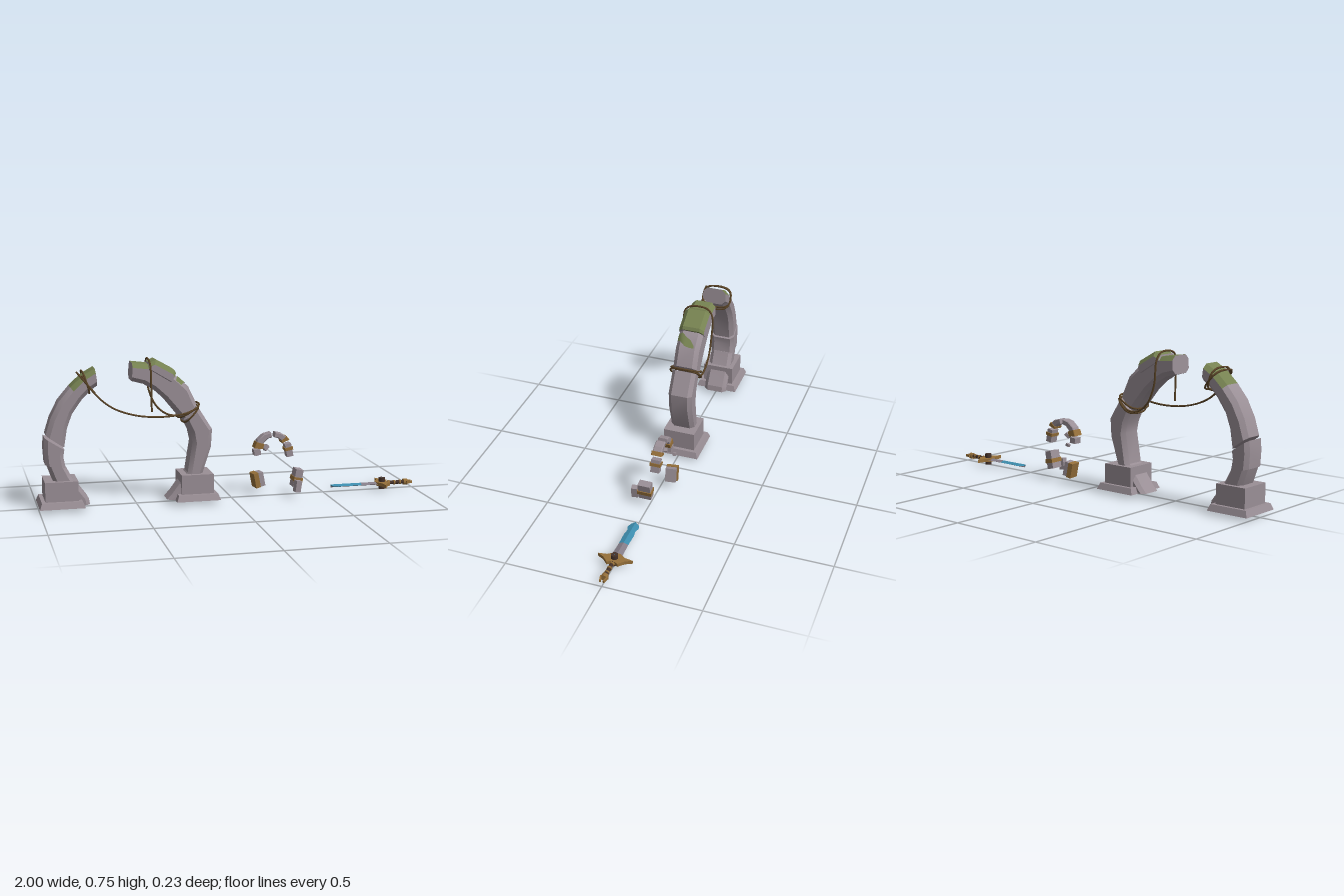
import * as THREE from 'three';
import { toCreasedNormals } from 'three/addons/utils/BufferGeometryUtils.js';

const mat = (name, color) => {
  const m = new THREE.MeshStandardMaterial({ color });
  m.name = name;
  return m;
};

export function createModel() {
  const model = new THREE.Group();
  model.name = 'ruinedArchAndSword';
  const stone = mat('stone', 0x9a8f96), moss = mat('moss', 0x768251), shade = mat('darkStone', 0x463e50);
  const rope = mat('rope', 0x5a4427), gold = mat('gold', 0x96703a), blue = mat('blueBlade', 0x3d8dae);
  const steel = mat('steel', 0x857d88), grip = mat('darkGrip', 0x45322a);
  moss.side = THREE.DoubleSide;
  const V = (x, y, z) => new THREE.Vector3(x, y, z);

  const add = (parent, name, geometry, material) => {
    const mesh = new THREE.Mesh(geometry, material);
    mesh.name = name;
    parent.add(mesh);
    return mesh;
  };

  // Closed loft through equal rings; pick(segment, side) chooses the material, segment -1 is the first cap
  function loft(parent, name, rings, mats, pick = () => 0) {
    const sets = mats.map(() => []), n = rings[0].length, last = rings.length - 1;
    let volume = 0;
    const tri = (m, a, b, c) => {
      sets[m].push([a, b, c]);
      volume += a.dot(b.clone().cross(c));
    };
    for (let i = 0; i < last; i++) for (let k = 0; k < n; k++) {
      const j = (k + 1) % n, m = pick(i, k);
      tri(m, rings[i][k], rings[i + 1][k], rings[i + 1][j]);
      tri(m, rings[i][k], rings[i + 1][j], rings[i][j]);
    }
    for (let k = 1; k < n - 1; k++) {
      tri(pick(-1, k), rings[0][0], rings[0][k], rings[0][k + 1]);
      tri(pick(last, k), rings[last][0], rings[last][k + 1], rings[last][k]);
    }
    const pos = [], geometry = new THREE.BufferGeometry();
    sets.forEach((set, m) => {
      const start = pos.length / 3;
      for (const [a, b, c] of set) for (const p of volume < 0 ? [a, c, b] : [a, b, c]) pos.push(p.x, p.y, p.z);
      geometry.addGroup(start, pos.length / 3 - start, m);
    });
    geometry.setAttribute('position', new THREE.Float32BufferAttribute(pos, 3));
    geometry.computeVertexNormals();
    return add(parent, name, toCreasedNormals(geometry, 0.4), mats);
  }

  // Chamfered stone swept along pairs of [outerX, outerY, innerX, innerY]
  function sweep(parent, name, pairs, hz, c, { z = 0, mats = [stone, moss], mossy = () => false } = {}) {
    const rings = pairs.map(([ox, oy, ix, iy]) => {
      const len = Math.hypot(ox - ix, oy - iy), dx = (ox - ix) / len * c, dy = (oy - iy) / len * c, b = hz - c;
      const half = [[ox, oy, b], [ox - dx, oy - dy, hz], [ix + dx, iy + dy, hz], [ix, iy, b]];
      return [...half.map(p => V(p[0], p[1], z + p[2])), ...half.reverse().map(p => V(p[0], p[1], z - p[2]))];
    });
    return loft(parent, name, rings, mats, (i, k) => (i >= 0 && [0, 6, 7].includes(k) && mossy(i) ? 1 : 0));
  }

  const box = (parent, name, material, [w, h, d], [x, y, z], rz = 0, ry = 0) => {
    const mesh = add(parent, name, new THREE.BoxGeometry(w, h, d), material);
    mesh.position.set(x, y, z);
    mesh.rotation.set(0, ry, rz);
    return mesh;
  };

  const cord = (name, pts, closed = false, r = 0.005) => {
    const curve = new THREE.CatmullRomCurve3(pts.map(p => V(...p)), closed, 'centripetal');
    return add(model, name, new THREE.TubeGeometry(curve, 48, r, 6, closed), rope);
  };

  // Pedestals
  const square = (x, y, h) => [V(x - h, y, -h), V(x + h, y, -h), V(x + h, y, h), V(x - h, y, h)];
  for (const [side, x] of [['right', -0.887], ['left', -0.195]]) {
    loft(model, side + 'Plinth', [square(x, 0.018, 0.114), square(x, 0.05, 0.102)], [stone, shade], i => (i < 0 ? 1 : 0));
    box(model, side + 'Pedestal', stone, [0.166, 0.1, 0.17], [x, 0.1, 0]);
  }

  // Right half of the broken arch
  sweep(model, 'rightArch', [
    [-0.706, 0.709, -0.695, 0.623], [-0.765, 0.676, -0.727, 0.602], [-0.829, 0.618, -0.775, 0.553],
    [-0.888, 0.548, -0.824, 0.484], [-0.93, 0.468, -0.85, 0.414], [-0.957, 0.382, -0.866, 0.318],
  ], 0.064, 0.022, { mossy: i => i < 2 });
  sweep(model, 'rightArchBlock', [
    [-0.963, 0.37, -0.866, 0.307], [-0.968, 0.313, -0.872, 0.27], [-0.963, 0.233, -0.861, 0.211],
  ], 0.067, 0.02);
  sweep(model, 'rightArchFoot', [
    [-0.957, 0.235, -0.861, 0.22], [-0.93, 0.158, -0.829, 0.158], [-0.877, 0.05, -0.749, 0.05], [-0.866, 0.02, -0.743, 0.02],
  ], 0.063, 0.02);

  // Left half of the broken arch
  sweep(model, 'leftArch', [
    [-0.519, 0.73, -0.524, 0.639], [-0.428, 0.719, -0.465, 0.623], [-0.364, 0.698, -0.412, 0.591],
    [-0.299, 0.66, -0.353, 0.537], [-0.235, 0.602, -0.31, 0.484], [-0.192, 0.51, -0.267, 0.43],
  ], 0.064, 0.022, { mossy: i => i < 2 });
  sweep(model, 'leftArchLower', [
    [-0.182, 0.49, -0.255, 0.43], [-0.112, 0.377, -0.225, 0.366], [-0.118, 0.286, -0.214, 0.313],
    [-0.16, 0.158, -0.24, 0.158], [-0.203, 0.05, -0.32, 0.05], [-0.214, 0.02, -0.348, 0.02],
  ], 0.064, 0.02);
  sweep(model, 'mossyCapStone', [
    [-0.435, 0.728, -0.44, 0.68], [-0.4, 0.742, -0.425, 0.67], [-0.305, 0.688, -0.345, 0.62], [-0.297, 0.672, -0.335, 0.615],
  ], 0.068, 0.022, { mossy: () => true });

  // Moss streak lying across the outer face and its bevel: z, upper y, lower y
  const streak = [[-0.035, 0.612, 0.604], [-0.01, 0.632, 0.604], [0.015, 0.642, 0.608], [0.042, 0.655, 0.622], [0.064, 0.64, 0.615]];
  const streakPos = [], streakIndex = [];
  streak.forEach(([z, hi, lo], i) => {
    const drop = Math.max(0, z - 0.042) * 0.68;
    for (const y of [hi, lo]) {
      const yy = z > 0.05 ? y - 0.004 : y;
      const x = -0.299 + (0.66 - yy - (z > 0.05 ? drop : 0)) * 1.103 - drop + 0.003;
      streakPos.push(x, yy + 0.002, z);
    }
    if (i) streakIndex.push(2 * i - 2, 2 * i, 2 * i - 1, 2 * i, 2 * i + 1, 2 * i - 1);
  });
  const streakGeometry = new THREE.BufferGeometry();
  streakGeometry.setAttribute('position', new THREE.Float32BufferAttribute(streakPos, 3));
  streakGeometry.setIndex(streakIndex);
  streakGeometry.computeVertexNormals();
  add(model, 'mossStreak', streakGeometry, moss);

  // Ropes: bindings round the stones, a sagging line and a draped end
  const binding = (name, ox, oy, ix, iy, r = 0.073) => cord(name, [
    [ox, oy, 0.045], [ox * 0.8 + ix * 0.2, oy * 0.8 + iy * 0.2, r], [ox * 0.2 + ix * 0.8, oy * 0.2 + iy * 0.8, r], [ix, iy, 0.045],
    [ix, iy, -0.045], [ox * 0.2 + ix * 0.8, oy * 0.2 + iy * 0.8, -r], [ox * 0.8 + ix * 0.2, oy * 0.8 + iy * 0.2, -r], [ox, oy, -0.045],
  ], true);
  binding('rightBindingA', -0.785, 0.678, -0.71, 0.588);
  binding('rightBindingB', -0.765, 0.688, -0.735, 0.587);
  binding('leftBindingA', -0.18, 0.505, -0.28, 0.445);
  binding('leftBindingB', -0.185, 0.495, -0.255, 0.42, 0.077);
  cord('saggingRope', [
    [-0.775, 0.68, 0.07], [-0.715, 0.59, 0.08], [-0.63, 0.516, 0.082], [-0.52, 0.473, 0.08],
    [-0.39, 0.457, 0.078], [-0.26, 0.468, 0.077], [-0.187, 0.495, 0.074],
  ]);
  cord('drapedRope', [
    [-0.428, 0.485, 0.078], [-0.43, 0.6, 0.08], [-0.432, 0.71, 0.077], [-0.433, 0.738, 0.045], [-0.433, 0.738, -0.045],
    [-0.43, 0.7, -0.074], [-0.418, 0.58, -0.076], [-0.375, 0.484, -0.076], [-0.31, 0.438, -0.074], [-0.245, 0.44, -0.074], [-0.187, 0.49, -0.07],
  ]);

  // Small shattered arch with gilded bands
  const ruin = new THREE.Group();
  ruin.name = 'smallBrokenArch';
  model.add(ruin);
  const arc = [[0.214, 0.334, 0.219, 0.307], [0.176, 0.324, 0.198, 0.302], [0.144, 0.297, 0.176, 0.281], [0.128, 0.254, 0.166, 0.249]];
  const mirror = list => list.map(([a, b, c, d]) => [0.452 - a, b, 0.452 - c, d]);
  const bandEnd = [[0.136, 0.287, 0.178, 0.274], [0.124, 0.255, 0.17, 0.248]];
  const bandNear = [[0.153, 0.31, 0.184, 0.287], [0.139, 0.292, 0.18, 0.276]];
  const golden = { z: -0.025, mats: [gold] };
  sweep(ruin, 'smallArchRight', arc, 0.024, 0.004, { z: -0.025 });
  sweep(ruin, 'smallArchLeft', mirror(arc.slice(0, 3)), 0.024, 0.004, { z: -0.025 });
  sweep(ruin, 'goldBandRight', bandEnd, 0.028, 0.003, golden);
  sweep(ruin, 'goldBandLeft', mirror(bandNear), 0.028, 0.003, golden);
  box(ruin, 'chip', stone, [0.035, 0.03, 0.045], [0.143, 0.23, -0.03], 0.1);
  box(ruin, 'chip', stone, [0.03, 0.018, 0.025], [0.193, 0.25, -0.03], 0.7, 0.3);
  box(ruin, 'chip', stone, [0.02, 0.015, 0.015], [0.158, 0.208, -0.07], 0.3);
  const banded = (name, size, at, rz, ry, [bw, bh, bd], [bx, by, bz]) => {
    const block = box(ruin, name, stone, size, at, rz, ry);
    box(block, name + 'GoldBand', gold, [bw, bh, bd], [bx, by, bz]);
  };
  banded('fallenBlockUpper', [0.034, 0.07, 0.046], [0.313, 0.235, -0.025], 0.2, 0, [0.042, 0.016, 0.056], [0, 0.008, 0]);
  banded('fallenBlockRight', [0.05, 0.075, 0.055], [0.157, 0.078, -0.052], 0.2, 0.15, [0.026, 0.079, 0.062], [-0.015, 0, -0.003]);
  banded('fallenBlockLeft', [0.04, 0.095, 0.066], [0.348, 0.092, 0.02], -0.2, 0, [0.048, 0.022, 0.075], [0, -0.005, 0]);
  box(ruin, 'fallenChunk', stone, [0.03, 0.06, 0.034], [0.335, 0.06, 0.082], -0.15, 0.15);

  // Sword lying flat
  const sword = new THREE.Group();
  sword.name = 'sword';
  sword.position.y = 0.03;
  model.add(sword);
  const blade = [[0.542, 0.002], [0.555, 0.022], [0.58, 0.029], [0.605, 0.021], [0.64, 0.026], [0.71, 0.024], [0.815, 0.027]];
  loft(sword, 'blade', blade.map(([x, w]) => [V(x, 0.008, 0), V(x, 0, w), V(x, -0.008, 0), V(x, 0, -w)]),
    [blue, steel], (i, k) => ((k === 0 || k === 3) && i >= 0 && i < 5 ? 0 : 1));
  const wing = [[0.795, 0.018], [0.815, 0.045], [0.822, 0.09], [0.84, 0.055], [0.868, 0.028], [0.86, 0.012]];
  const outline = [...wing, ...wing.map(([x, z]) => [x, -z]).reverse()].map(p => new THREE.Vector2(...p));
  const guard = add(sword, 'guard', new THREE.ExtrudeGeometry(new THREE.Shape(outline), { depth: 0.018, bevelEnabled: false }), gold);
  guard.rotation.x = -Math.PI / 2;
  guard.position.y = -0.009;
  const hub = add(sword, 'guardHub', new THREE.CylinderGeometry(0.018, 0.018, 0.06, 8), grip);
  hub.position.x = 0.83;
  for (const s of [-1, 1]) {
    const gem = add(sword, 'guardGem', new THREE.OctahedronGeometry(0.011), blue);
    gem.position.set(0.83, s * 0.019, 0);
    gem.position.y = s * 0.018 + 0.004;
    box(sword, 'pommelClaw', gold, [0.035, 0.013, 0.008], [0.981, 0, s * 0.013], 0, s * 0.25);
  }
  const rod = (name, material, x, length, r) => {
    const mesh = add(sword, name, new THREE.CylinderGeometry(r, r, length, 8), material);
    mesh.rotation.z = Math.PI / 2;
    mesh.position.x = x;
  };
  rod('handle', grip, 0.91, 0.11, 0.01);
  for (const x of [0.868, 0.9, 0.932]) rod('handleRing', gold, x, 0.009, 0.013);
  rod('pommel', gold, 0.962, 0.022, 0.017);
  return model;
}
